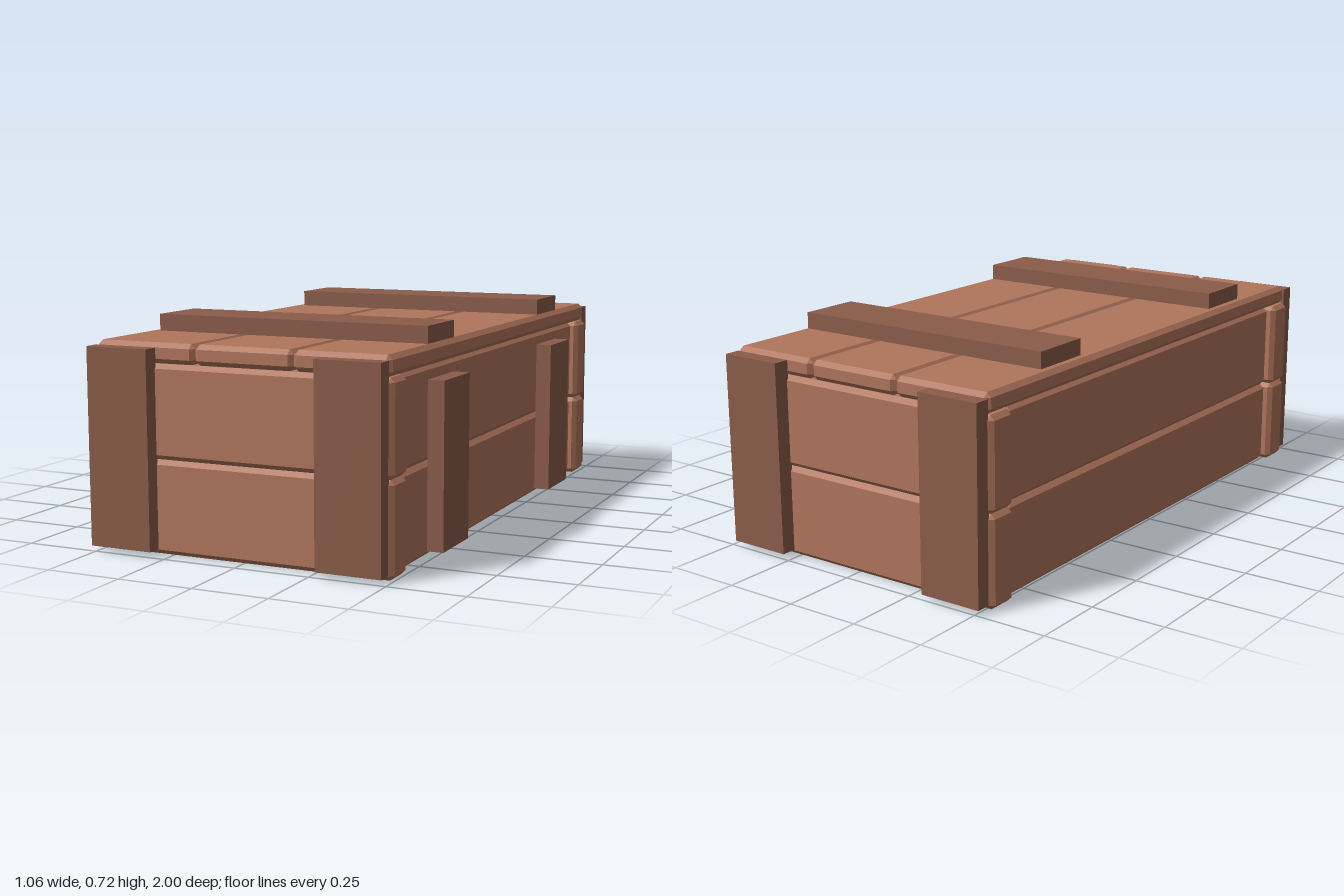
import * as THREE from 'three';
import { ConvexGeometry } from 'three/addons/geometries/ConvexGeometry.js';

const boardMat = new THREE.MeshStandardMaterial({ color: 0xb0755c, flatShading: true });
const battenMat = new THREE.MeshStandardMaterial({ color: 0x8a5c4a, flatShading: true });
const CHAMFER = 0.015;

// Board with every edge chamfered, given by its min/max extents
function board(name, [x0, x1], [y0, y1], [z0, z1]) {
  const h = [(x1 - x0) / 2, (y1 - y0) / 2, (z1 - z0) / 2];
  const points = [];
  for (const sx of [-1, 1]) for (const sy of [-1, 1]) for (const sz of [-1, 1]) {
    for (let face = 0; face < 3; face++) {
      const [x, y, z] = h.map((v, i) => (i === face ? v : v - CHAMFER));
      points.push(new THREE.Vector3(sx * x, sy * y, sz * z));
    }
  }
  const mesh = new THREE.Mesh(new ConvexGeometry(points), boardMat);
  mesh.position.set((x0 + x1) / 2, (y0 + y1) / 2, (z0 + z1) / 2);
  mesh.name = name;
  return mesh;
}

// Plain square-edged strip
function batten(name, [x0, x1], [y0, y1], [z0, z1]) {
  const mesh = new THREE.Mesh(new THREE.BoxGeometry(x1 - x0, y1 - y0, z1 - z0), battenMat);
  mesh.position.set((x0 + x1) / 2, (y0 + y1) / 2, (z0 + z1) / 2);
  mesh.name = name;
  return mesh;
}

// Range mirrored to the chosen side of zero
const side = (s, a, b) => (s > 0 ? [a, b] : [-b, -a]);

export function createModel() {
  const crate = new THREE.Group();
  crate.name = 'crate';

  // Two stacked boards on each wall
  for (const y of [[0, 0.3], [0.3, 0.6]]) {
    for (const s of [-1, 1]) crate.add(board('endBoard', [-0.53, 0.5], y, side(s, 0.84, 0.95)));
    crate.add(board('leftSideBoard', [0.375, 0.475], y, [-0.84, 0.84]));
    crate.add(board('rightSideBoard', [-0.505, -0.405], y, [-0.84, 0.84]));
  }

  // Floor and lid, three long boards each
  const floorX = [-0.405, -0.145, 0.115, 0.375];
  const lidX = [-0.515, -0.165, 0.172, 0.49];
  for (let i = 0; i < 3; i++) {
    crate.add(board('floorBoard', [floorX[i], floorX[i + 1]], [0, 0.065], [-0.84, 0.84]));
    crate.add(board('lidBoard', [lidX[i], lidX[i + 1]], [0.6, 0.665], [-0.945, 0.945]));
  }

  for (const s of [-1, 1]) {
    // Upright battens at the corners of both ends
    for (const x of [[-0.515, -0.3], [0.27, 0.485]]) {
      crate.add(batten('endBatten', x, [0.017, 0.65], side(s, 0.945, 1)));
    }
    // Lid battens, and uprights on one long side
    const z = side(s, 0.415, 0.63);
    crate.add(batten('lidBatten', [-0.48, 0.475], [0.665, 0.72], z));
    crate.add(batten('sideBatten', [0.475, 0.53], [0.017, 0.555], z));
  }
  return crate;
}
